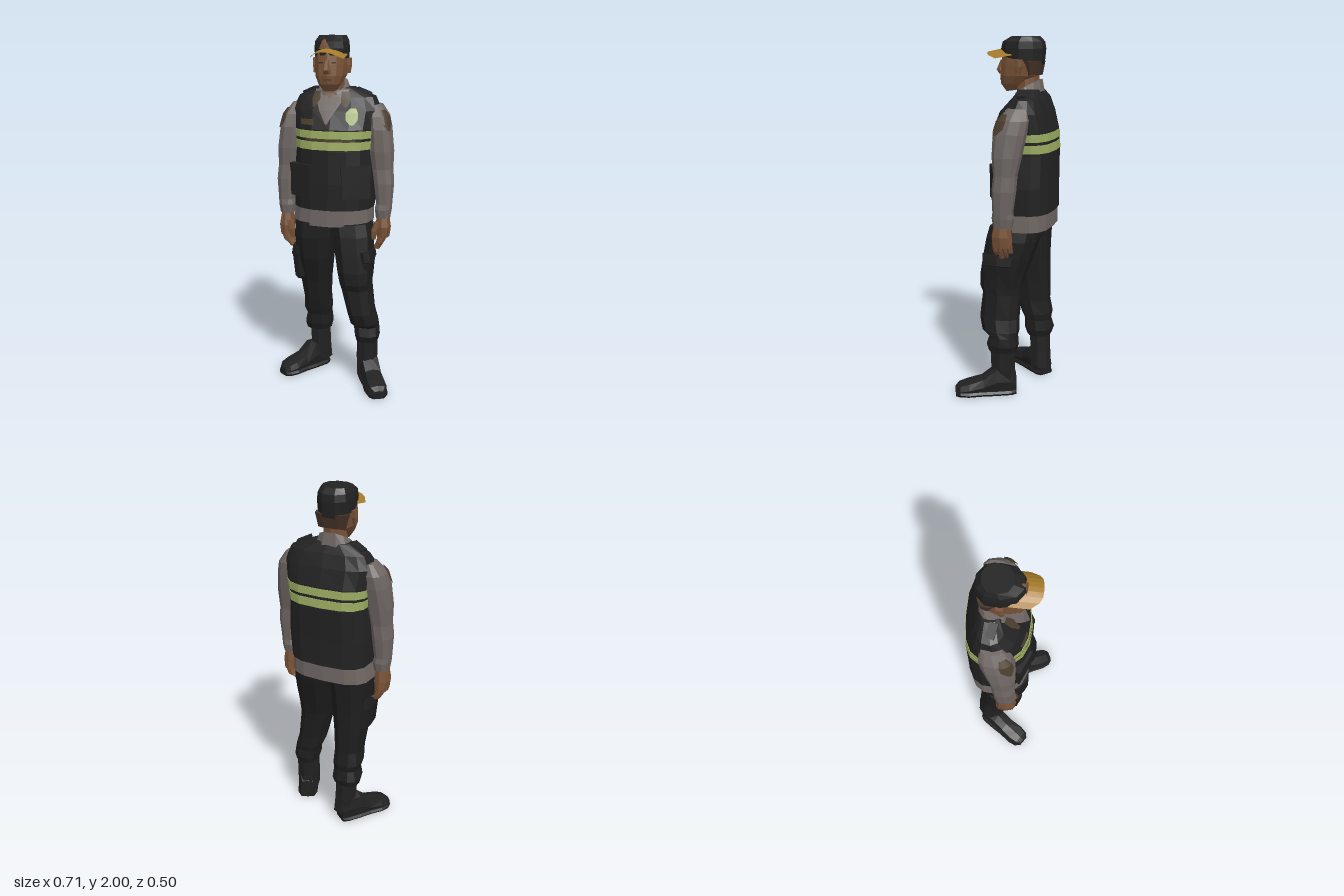
import * as THREE from 'three';
import { ParametricGeometry } from 'three/addons/geometries/ParametricGeometry.js';

const paint = (name, color, side = THREE.FrontSide) => {
  const m = new THREE.MeshStandardMaterial({ color, side });
  m.name = name;
  return m;
};

const MID = -0.01; // body mirror plane
const mirror = s => s.map(([y, a, b, c, d]) => [y, 2 * MID - b, 2 * MID - a, c, d]);

// Point on a rounded section [y, x0, x1, z0, z1] at angle a (0 = +x, PI/2 = +z).
// Roundness e is a number, or { front, back }; smaller is boxier.
function ringPoint([y, x0, x1, z0, z1], a, e, off = 0) {
  const power = e.front ? (Math.sin(a) < 0 ? e.back : e.front) : e;
  const bend = v => Math.sign(v) * Math.abs(v) ** power;
  return [(x0 + x1) / 2 + ((x1 - x0) / 2 + off) * bend(Math.cos(a)), y,
    (z0 + z1) / 2 + ((z1 - z0) / 2 + off) * bend(Math.sin(a))];
}

// Section interpolated at height y
function sectionAt(sections, y) {
  let i = 0;
  while (i < sections.length - 2 && sections[i + 1][0] < y) i++;
  const p = sections[i], q = sections[i + 1], t = (y - p[0]) / (q[0] - p[0]);
  return p.map((v, k) => v + (q[k] - v) * t);
}

// Flat-shaded skin over rows of points, rows ordered upward
function skin(rows, closed) {
  const pos = [], n = rows[0].length;
  for (let i = 0; i < rows.length - 1; i++) {
    for (let j = 0; j < (closed ? n : n - 1); j++) {
      const k = (j + 1) % n, A = rows[i][j], B = rows[i][k], C = rows[i + 1][k], D = rows[i + 1][j];
      pos.push(...A, ...D, ...C, ...A, ...C, ...B);
    }
  }
  if (closed) {
    const lo = rows[0], hi = rows[rows.length - 1];
    for (let j = 1; j < n - 1; j++) {
      pos.push(...lo[0], ...lo[j], ...lo[j + 1], ...hi[0], ...hi[j + 1], ...hi[j]);
    }
  }
  const g = new THREE.BufferGeometry();
  g.setAttribute('position', new THREE.Float32BufferAttribute(pos, 3));
  g.computeVertexNormals();
  return g;
}

// Closed solid through sections; the tilts raise the front of the end rings
function loft(sections, n = 10, e = 0.8, tiltTop = 0, tiltBottom = 0) {
  return skin(sections.map((s, i) => Array.from({ length: n }, (_, j) => {
    const a = j / n * Math.PI * 2, p = ringPoint(s, a, e);
    p[1] += Math.sin(a) * (i === 0 ? tiltBottom : i === sections.length - 1 ? tiltTop : 0);
    return p;
  })), true);
}

// Thin patch lying on a lofted body; rows are [y, angle0, angle1]
const drape = (sections, rows, e, off, cols = 5) => skin(rows.map(([y, a0, a1]) =>
  Array.from({ length: cols + 1 }, (_, j) =>
    ringPoint(sectionAt(sections, y), a0 + (a1 - a0) * j / cols, e, off))), false);

export function createModel() {
  const root = new THREE.Group();
  root.name = 'uniformedFigure';
  const vestBlack = paint('vestBlack', 0x222222), trouserBlack = paint('trouserBlack', 0x1e1e1f),
    bootBlack = paint('bootBlack', 0x212121), shirtGrey = paint('shirtGrey', 0x6f6764),
    skinBrown = paint('skinBrown', 0x785236), gold = paint('capGold', 0xa67a2a, THREE.DoubleSide),
    lime = paint('reflectiveLime', 0x9bad62), patchBrown = paint('patchBrown', 0x4a3d2d),
    hairBrown = paint('hairBrown', 0x443227);

  const add = (name, geometry, material, parent = root) => {
    const m = new THREE.Mesh(geometry, material);
    m.name = name;
    parent.add(m);
    return m;
  };
  const box = (name, mat, size, at, rot = [0, 0, 0]) => {
    const m = add(name, new THREE.BoxGeometry(...size), mat);
    m.position.set(...at);
    m.rotation.set(...rot);
  };

  // Vest (flat back, tapering front), reflective bands and shirt hem
  const VE = { front: 0.88, back: 0.65 };
  const vest = [[1.05, -0.25, 0.21, -0.245, 0.108], [1.2, -0.25, 0.22, -0.245, 0.108],
    [1.38, -0.24, 0.212, -0.248, 0.103], [1.5, -0.25, 0.228, -0.24, 0.093],
    [1.6, -0.262, 0.242, -0.213, 0.05], [1.67, -0.232, 0.212, -0.185, -0.015],
    [1.72, -0.135, 0.09, -0.158, -0.05]];
  add('vest', loft(vest, 16, VE), vestBlack);
  for (const [lo, hi] of [[1.39, 1.436], [1.452, 1.494]]) {
    add('reflectiveBand', loft([lo, hi].map(y => {
      const [h, a, b, c, d] = sectionAt(vest, y);
      return [h, a - 0.003, b + 0.003, c - 0.003, d + 0.003];
    }), 16, VE), lime);
  }
  add('shirtHem', loft([[0.955, -0.26, 0.205, -0.235, 0.102], [1.07, -0.245, 0.203, -0.235, 0.1]], 16, VE), shirtGrey);

  // Painted chest details, placed by x across the vest front
  const chest = (name, mat, rows, off) => add(name, drape(vest, rows.map(([y, xa, xb]) => {
    const [, x0, x1] = sectionAt(vest, y);
    const angle = x => {
      const u = (x - (x0 + x1) / 2) / ((x1 - x0) / 2);
      return Math.acos(Math.sign(u) * Math.abs(u) ** (1 / VE.front));
    };
    return [y, angle(xb), angle(xa)];
  }), VE, off), mat);
  chest('bandSeam', patchBrown, [[1.436, -0.15, 0.13], [1.452, -0.15, 0.13]], 0.002);
  chest('shirtOpening', shirtGrey, [[1.53, -0.035, -0.028], [1.6, -0.075, 0.012], [1.67, -0.112, 0.05], [1.71, -0.12, 0.065]], 0.007);
  chest('neckSkin', skinBrown, [[1.665, -0.035, -0.028], [1.685, -0.055, -0.005], [1.71, -0.075, 0.015]], 0.012);
  chest('rightCollarFlap', patchBrown, [[1.62, -0.115, -0.1], [1.66, -0.125, -0.08], [1.7, -0.115, -0.085]], 0.013);
  chest('leftCollarFlap', patchBrown, [[1.62, 0.055, 0.07], [1.66, 0.03, 0.085], [1.7, 0.03, 0.065]], 0.013);
  chest('chestBadge', lime, [[1.53, 0.095, 0.115], [1.555, 0.073, 0.134], [1.59, 0.068, 0.134], [1.615, 0.088, 0.12]], 0.009);
  chest('nameTag', patchBrown, [[1.525, -0.175, -0.1], [1.555, -0.18, -0.1]], 0.009);

  // Pouches and shoulder straps
  for (const [x, s, w] of [[-0.178, -1, 0.14], [0.13, 1, 0.165]]) {
    box('vestPouch', vestBlack, [w, 0.17, 0.03], [x, 1.205, 0.062], [0, s * 0.46, 0]);
    box('pouchFlap', vestBlack, [w + 0.004, 0.05, 0.036], [x, 1.28, 0.062], [0, s * 0.46, 0]);
    box('shoulderStrap', vestBlack, [0.08, 0.016, 0.045], [MID + s * 0.156, 1.7, -0.095], [0, s * 0.3, -s * 0.4]);
  }

  // Sleeves, arm patches and hands
  const arm = [[1.0, -0.332, -0.25, -0.085, 0.018], [1.05, -0.34, -0.243, -0.095, 0.026],
    [1.08, -0.342, -0.25, -0.09, 0.02], [1.2, -0.35, -0.235, -0.105, 0.025],
    [1.28, -0.343, -0.222, -0.108, 0.018], [1.38, -0.345, -0.205, -0.13, 0.028],
    [1.5, -0.33, -0.2, -0.155, 0.025], [1.57, -0.312, -0.195, -0.165, 0.005], [1.63, -0.268, -0.2, -0.15, -0.04]];
  const palm = [[0.87, -0.33, -0.258, -0.088, 0.025], [0.93, -0.338, -0.25, -0.085, 0.03],
    [0.98, -0.33, -0.255, -0.078, 0.02], [1.04, -0.32, -0.26, -0.07, 0.008]];
  for (const s of [-1, 1]) {
    const side = s < 0 ? 'right' : 'left', fit = v => s < 0 ? v : mirror(v);
    add(side + 'Sleeve', loft(fit(arm)), shirtGrey);
    const c = s < 0 ? Math.PI - 0.7 : 0.7;
    add(side + 'ArmPatch', drape(fit(arm), [[1.495, 0.12], [1.53, 0.5], [1.57, 0.52], [1.605, 0.35]]
      .map(([y, w]) => [y, c - w, c + w]), 0.8, 0.006), patchBrown);
    const hand = new THREE.Group();
    hand.name = side + 'Hand';
    hand.position.y = s < 0 ? 0 : 0.02;
    root.add(hand);
    add('palm', loft(fit(palm), 8), skinBrown, hand);
    for (let i = 0; i < 4; i++) {
      const z = 0.01 - i * 0.027, drop = [0.815, 0.795, 0.805, 0.83][i];
      add('finger', loft(fit([[drop, -0.275, -0.245, z - 0.01, z + 0.01],
        [0.84, -0.303, -0.26, z - 0.014, z + 0.014], [0.89, -0.324, -0.274, z - 0.014, z + 0.014]]), 6), skinBrown, hand);
    }
    add('thumb', loft(fit([[0.86, -0.26, -0.236, 0.012, 0.032], [0.91, -0.273, -0.233, 0.005, 0.038],
      [0.96, -0.29, -0.25, -0.01, 0.03]]), 6), skinBrown, hand);
  }

  // Trouser legs in a slight stride, left leg forward, bloused over the boots
  const rightLeg = [[0.26, -0.205, -0.055, -0.2, -0.06], [0.3, -0.215, -0.045, -0.214, -0.045],
    [0.36, -0.2, -0.05, -0.198, -0.045], [0.4, -0.215, -0.045, -0.205, -0.025], [0.48, -0.208, -0.048, -0.19, 0],
    [0.6, -0.222, -0.04, -0.19, 0.03], [0.75, -0.235, -0.02, -0.187, 0.08],
    [0.88, -0.245, -0.005, -0.192, 0.1], [0.97, -0.245, 0.01, -0.2, 0.095]];
  const leftLeg = [[0.26, 0.13, 0.258, -0.085, 0.072], [0.3, 0.12, 0.268, -0.095, 0.085],
    [0.35, 0.112, 0.262, -0.088, 0.07], [0.38, 0.1, 0.258, -0.095, 0.115], [0.45, 0.085, 0.24, -0.09, 0.135],
    [0.59, 0.045, 0.225, -0.095, 0.125], [0.63, 0.035, 0.225, -0.1, 0.143], [0.7, 0.02, 0.225, -0.12, 0.142],
    [0.8, 0, 0.225, -0.155, 0.128], [0.9, -0.02, 0.22, -0.188, 0.112], [0.97, -0.03, 0.205, -0.2, 0.095]];
  add('rightTrouserLeg', loft(rightLeg), trouserBlack);
  add('leftTrouserLeg', loft(leftLeg), trouserBlack);
  const pocket = [[0.61, -0.226, -0.17, -0.1, 0.03], [0.63, -0.238, -0.17, -0.125, 0.045],
    [0.76, -0.25, -0.17, -0.13, 0.055], [0.765, -0.256, -0.17, -0.137, 0.06], [0.82, -0.246, -0.17, -0.135, 0.06]];
  add('rightCargoPocket', loft(pocket, 8, 0.5), trouserBlack);
  add('leftCargoPocket', loft(mirror(pocket).map(([y, a, b, c, d]) => [y, a, b, c + 0.055, d + 0.055]), 8, 0.5), trouserBlack);

  // Boots: shaft, turned-out foot and sole
  const foot = [[0, -0.04, 0.04, -0.12, 0], [0.03, -0.055, 0.055, -0.165, 0], [0.12, -0.058, 0.058, -0.165, 0],
    [0.19, -0.056, 0.056, -0.108, 0], [0.27, -0.062, 0.062, -0.085, 0],
    [0.32, -0.053, 0.053, -0.07, 0], [0.345, -0.03, 0.03, -0.05, 0]];
  const sole = foot.map(([s, a, b]) => [s, a - 0.005, b + 0.005, -0.03, 0]);
  const shafts = {
    right: [[0.06, -0.175, -0.055, -0.205, -0.08], [0.16, -0.185, -0.062, -0.2, -0.075], [0.29, -0.19, -0.065, -0.195, -0.07]],
    left: [[0.06, 0.13, 0.245, -0.085, 0.06], [0.16, 0.13, 0.255, -0.078, 0.065], [0.29, 0.135, 0.255, -0.078, 0.07]],
  };
  for (const [side, x, z, yaw, len] of [['right', -0.105, -0.18, -0.655, 0.95], ['left', 0.17, -0.075, 0.43, 1]]) {
    add(side + 'BootShaft', loft(shafts[side], 8), bootBlack);
    const g = new THREE.Group();
    g.name = side + 'BootFoot';
    g.position.set(x, 0.004, z);
    g.rotation.y = yaw;
    g.scale.z = len;
    root.add(g);
    add('upper', loft(foot, 8, 0.65).rotateX(Math.PI / 2), bootBlack, g);
    add('sole', loft(sole, 8, 0.4).rotateX(Math.PI / 2), trouserBlack, g);
  }

  // Neck, collar and head
  add('neck', loft([[1.6, -0.1, 0.04, -0.14, -0.02], [1.82, -0.09, 0.03, -0.147, -0.02]], 8), skinBrown);
  add('collar', loft([[1.66, -0.15, 0.09, -0.175, -0.01], [1.735, -0.11, 0.05, -0.157, -0.015]], 10, 0.8, -0.04), shirtGrey);
  add('head', loft([[1.71, -0.066, 0.01, -0.035, 0.04], [1.745, -0.092, 0.035, -0.075, 0.07],
    [1.79, -0.114, 0.055, -0.145, 0.076], [1.85, -0.118, 0.06, -0.163, 0.07], [1.92, -0.118, 0.058, -0.163, 0.06]], 12, 0.8, 0, -0.006), skinBrown);
  add('nose', loft([[1.8, -0.05, -0.008, 0.05, 0.085], [1.822, -0.05, -0.008, 0.05, 0.1],
    [1.875, -0.038, -0.02, 0.05, 0.077]], 6), skinBrown);
  add('hair', loft([[1.795, -0.105, 0.048, -0.155, -0.08], [1.87, -0.122, 0.064, -0.168, -0.055]], 10, 0.6), hairBrown);
  box('mouth', hairBrown, [0.045, 0.005, 0.005], [-0.029, 1.77, 0.073]);
  for (const s of [-1, 1]) {
    box('eye', hairBrown, [0.026, 0.007, 0.006], [-0.029 + s * 0.036, 1.86, 0.062], [0, s * 0.3, 0]);
    const x = -0.03 + s * 0.095;
    add('ear', loft([[1.8, x - 0.01, x + 0.01, -0.06, -0.035], [1.84, x - 0.016, x + 0.016, -0.078, -0.03],
      [1.88, x - 0.016, x + 0.016, -0.08, -0.035]], 6), skinBrown);
  }

  // Flat-topped cap with curved peak and plain front emblem
  const cap = [[1.875, -0.122, 0.063, -0.17, 0.064], [1.935, -0.127, 0.067, -0.178, 0.068],
    [1.972, -0.122, 0.062, -0.172, 0.06], [2.0, -0.108, 0.048, -0.145, 0.01]];
  add('cap', loft(cap, 10, 0.85, 0, 0.025), vestBlack);
  const peak = new ParametricGeometry((u, v, out) => {
    const t = u * 2 - 1, back = 0.06 - 0.08 * t * t, front = 0.145 - 0.065 * t ** 4;
    out.set(-0.03 + t * 0.095, 1.937 - 0.036 * t * t - 0.018 * v, back + (front - back) * v);
  }, 8, 2).toNonIndexed();
  peak.computeVertexNormals();
  add('capPeak', peak, gold);
  add('capEmblem', drape(cap, [[1.932, 1.42, 1.98], [1.95, 1.5, 1.9], [1.972, 1.6, 1.8], [1.984, 1.67, 1.73]], 0.85, 0.004), skinBrown);

  return root;
}
